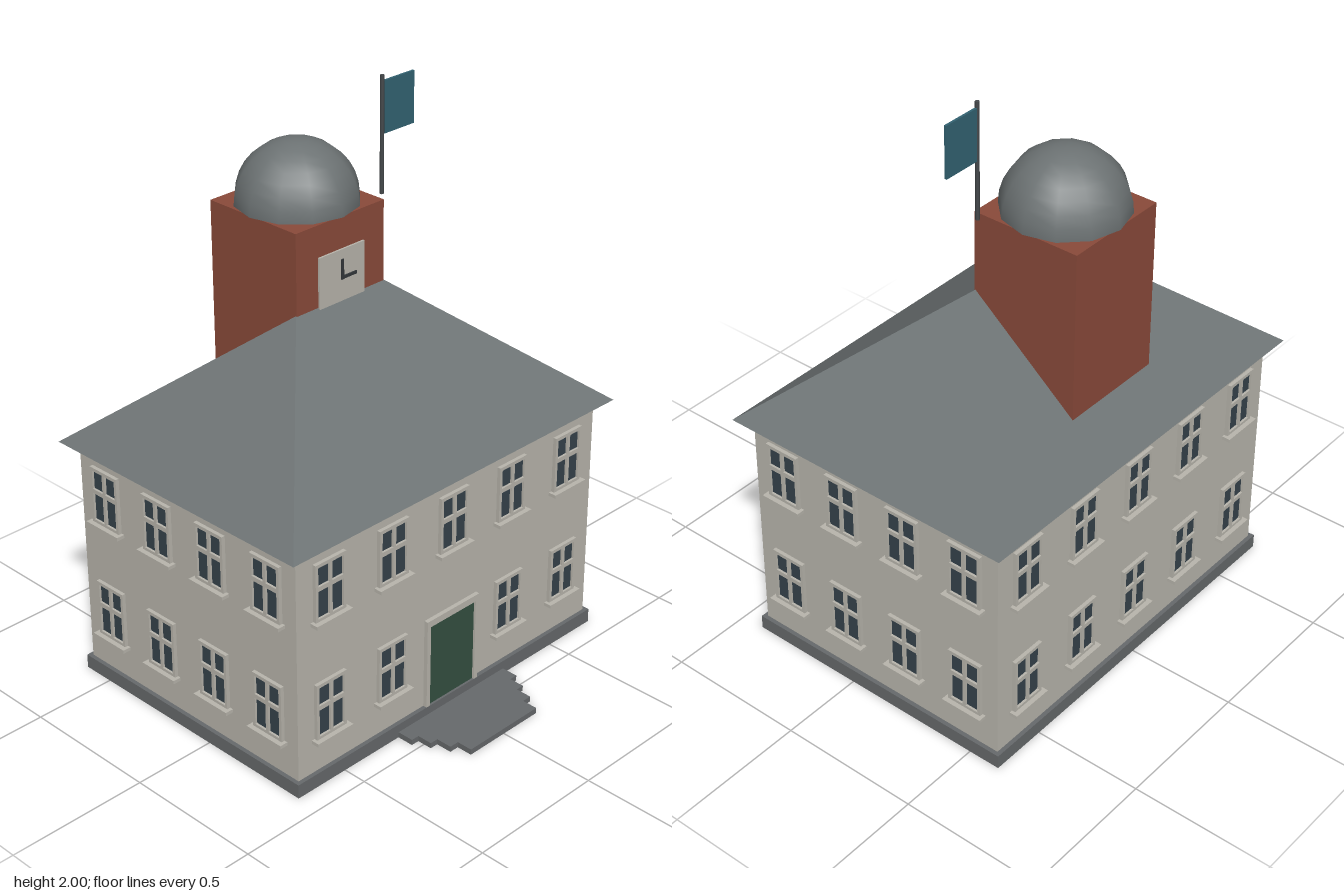
import * as THREE from 'three';

const mat = (name, color) => {
  const m = new THREE.MeshStandardMaterial({ color });
  m.name = name;
  return m;
};

export function createModel() {
  const model = new THREE.Group();
  model.name = 'townHall';

  const plaster = mat('plaster', 0xb8b5ac);
  const slate = mat('slate', 0x6d7374);
  const stone = mat('stone', 0x66696b);
  const brick = mat('brick', 0x8a4a3a);
  const glass = mat('glass', 0x35424b);
  const doorGreen = mat('doorGreen', 0x344f41);
  const flagTeal = mat('flagTeal', 0x336372);
  const iron = mat('iron', 0x45494c);
  const handDark = mat('handDark', 0x33373a);

  const add = (name, geo, material, parent = model) => {
    const m = new THREE.Mesh(geo, material);
    m.name = name;
    parent.add(m);
    return m;
  };
  // Box given by its min and max corners
  const box = (name, material, x0, x1, y0, y1, z0, z1, parent = model) => {
    const m = add(name, new THREE.BoxGeometry(x1 - x0, y1 - y0, z1 - z0), material, parent);
    m.position.set((x0 + x1) / 2, (y0 + y1) / 2, (z0 + z1) / 2);
    return m;
  };

  const CZ = -0.1; // centre of the house in z
  const HW = 0.69, HD = 0.5; // half width and half depth of the walls

  // Plinth and walls
  box('plinth', stone, -0.705, 0.705, 0, 0.05, CZ - 0.515, CZ + 0.515);
  box('walls', plaster, -HW, HW, 0.05, 0.875, CZ - HD, CZ + HD);

  // Stepped slabs in front of the door
  [[0.255, 0.475], [0.225, 0.53], [0.195, 0.588], [0.16, 0.645]].reduce((z0, [hw, z1], i) => {
    box('step' + (i + 1), stone, -hw, hw, 0, 0.02, z0, z1);
    return z1;
  }, 0.4);

  // Hipped roof: four eave corners and two ridge ends
  const ex = 0.74, ez = 0.545, ey = 0.875, ry = 1.32, rx = 0.195;
  const a = [-ex, ey, CZ + ez], b = [ex, ey, CZ + ez], c = [ex, ey, CZ - ez], d = [-ex, ey, CZ - ez];
  const l = [-rx, ry, CZ], r = [rx, ry, CZ];
  const roof = new THREE.BufferGeometry();
  const tris = [a, b, r, a, r, l, b, c, r, c, d, l, c, l, r, d, a, l, a, d, c, a, c, b];
  roof.setAttribute('position', new THREE.Float32BufferAttribute(tris.flat(), 3));
  roof.computeVertexNormals();
  add('roof', roof, slate);

  // Window parts: frame with four panes cut out, glass and sill
  const rect = (P, x0, x1, y0, y1) => {
    const p = new P();
    p.moveTo(x0, y0).lineTo(x1, y0).lineTo(x1, y1).lineTo(x0, y1).closePath();
    return p;
  };
  const frameShape = rect(THREE.Shape, -0.065, 0.065, 0, 0.205);
  for (const s of [-1, 1]) {
    const x0 = Math.min(s * 0.006, s * 0.054), x1 = Math.max(s * 0.006, s * 0.054);
    frameShape.holes.push(rect(THREE.Path, x0, x1, 0.012, 0.11));
    frameShape.holes.push(rect(THREE.Path, x0, x1, 0.126, 0.193));
  }
  const frameGeo = new THREE.ExtrudeGeometry(frameShape, { depth: 0.013, bevelEnabled: false });

  const makeWindow = (parent, x, y) => {
    const w = new THREE.Group();
    w.name = 'window';
    w.position.set(x, y, 0);
    add('windowFrame', frameGeo, plaster, w);
    box('windowGlass', glass, -0.058, 0.058, 0.006, 0.199, -0.002, 0.005, w);
    box('windowSill', plaster, -0.077, 0.077, -0.01, 0.002, 0, 0.03, w);
    parent.add(w);
  };

  // Facades: each turned to face outwards, windows in two rows
  const facades = [
    ['frontFacade', 5, 0.277, 0, 0, CZ + HD],
    ['leftFacade', 4, 0.25, Math.PI / 2, HW, CZ],
    ['backFacade', 5, 0.277, Math.PI, 0, CZ - HD],
    ['rightFacade', 4, 0.25, -Math.PI / 2, -HW, CZ],
  ];
  for (const [name, count, gap, turn, x, z] of facades) {
    const f = new THREE.Group();
    f.name = name;
    f.position.set(x, 0, z);
    f.rotation.y = turn;
    for (let i = 0; i < count; i++) {
      const wx = (i - (count - 1) / 2) * gap;
      makeWindow(f, wx, 0.606);
      if (name !== 'frontFacade' || i !== 2) makeWindow(f, wx, 0.173);
    }
    model.add(f);
  }

  // Front door with surround
  const surround = new THREE.Shape();
  surround.moveTo(-0.123, 0.05).lineTo(-0.107, 0.05).lineTo(-0.107, 0.356).lineTo(0.107, 0.356)
    .lineTo(0.107, 0.05).lineTo(0.123, 0.05).lineTo(0.123, 0.38).lineTo(-0.123, 0.38).closePath();
  add('doorSurround', new THREE.ExtrudeGeometry(surround, { depth: 0.015, bevelEnabled: false }), plaster)
    .position.z = 0.4;
  box('door', doorGreen, -0.107, 0.107, 0.05, 0.356, 0.398, 0.407);

  // Brick tower with clock
  box('tower', brick, -0.195, 0.195, 0.8, 1.6, -0.487, -0.097);
  box('clockFace', plaster, -0.1, 0.1, 1.29, 1.49, -0.098, -0.09);
  box('minuteHand', handDark, -0.005, 0.005, 1.387, 1.457, -0.09, -0.086);
  box('hourHand', handDark, 0, 0.062, 1.389, 1.399, -0.09, -0.085);

  // Dome with closed underside
  const dome = new THREE.Group();
  dome.name = 'dome';
  dome.position.set(0, 1.6, -0.292);
  add('domeShell', new THREE.SphereGeometry(0.207, 12, 8, 0, Math.PI * 2, 0, Math.PI / 2), slate, dome);
  add('domeBase', new THREE.CircleGeometry(0.207, 12), slate, dome).rotation.x = Math.PI / 2;
  model.add(dome);

  // Flagpole and flag
  add('flagpole', new THREE.CylinderGeometry(0.007, 0.007, 0.4, 8), iron).position.set(0.225, 1.8, -0.135);
  box('flag', flagTeal, 0.228, 0.367, 1.803, 1.98, -0.139, -0.131);

  return model;
}
